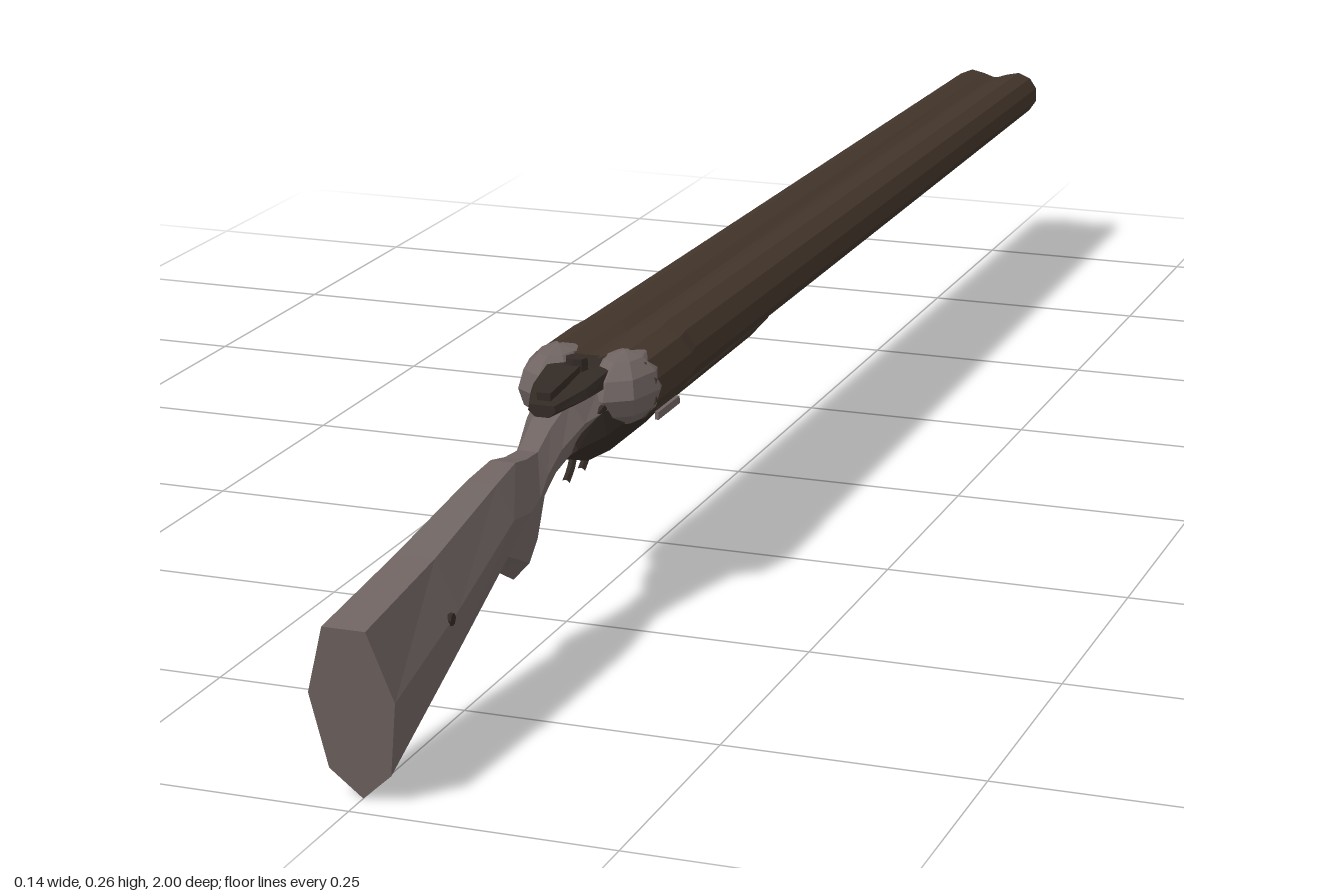
import * as THREE from 'three';

const mat = (name, color) => Object.assign(new THREE.MeshStandardMaterial({ color }), { name });

export function createModel() {
  const stockGrey = mat('weathered grey', 0x6f6462);
  const brown = mat('dark brown', 0x42342a);
  const dark = mat('dark metal', 0x332a25);
  const group = new THREE.Group();

  const add = (name, geometry, material, x = 0, y = 0, z = 0) => {
    const flat = geometry.index ? geometry.toNonIndexed() : geometry;
    flat.computeVertexNormals();
    const mesh = new THREE.Mesh(flat, material);
    mesh.name = name;
    mesh.position.set(x, y, z);
    group.add(mesh);
    return mesh;
  };

  // Closed skin through mirrored half sections, listed from rear (+z) to front;
  // each half runs from top to bottom as [half width, y, z].
  const loft = (halves) => {
    const rings = halves.map((half) => [
      ...half.map(([w, y, z]) => [-w, y, z]),
      ...half.filter(([w]) => w > 0).reverse(),
    ]);
    const pos = [];
    const tri = (a, b, c) => pos.push(...a, ...b, ...c);
    const n = rings[0].length;
    for (let k = 0; k + 1 < rings.length; k++) {
      const a = rings[k], b = rings[k + 1];
      for (let i = 0; i < n; i++) {
        const j = (i + 1) % n;
        tri(a[i], b[i], b[j]);
        tri(a[i], b[j], a[j]);
      }
    }
    const first = rings[0], last = rings[rings.length - 1];
    for (let i = 1; i + 1 < n; i++) {
      tri(first[0], first[i], first[i + 1]);
      tri(last[0], last[i + 1], last[i]);
    }
    const g = new THREE.BufferGeometry();
    g.setAttribute('position', new THREE.Float32BufferAttribute(pos, 3));
    return g;
  };

  // Stock with pistol grip: top z, top y, bottom z, bottom y, half width
  const stock = [
    [1.0, 0.17, 0.97, 0.003, 0.041],
    [0.85, 0.186, 0.83, 0.066, 0.038],
    [0.70, 0.208, 0.69, 0.122, 0.03],
    [0.65, 0.213, 0.63, 0.09, 0.025],
    [0.62, 0.207, 0.605, 0.11, 0.022],
    [0.59, 0.205, 0.59, 0.15, 0.02],
    [0.56, 0.22, 0.56, 0.168, 0.022],
    [0.52, 0.236, 0.52, 0.182, 0.03],
    [0.45, 0.245, 0.45, 0.185, 0.045],
  ];
  add('stock', loft(stock.map(([zt, yt, zb, yb, w]) =>
    [[0.5, 0], [1, 0.4], [0.72, 0.84], [0, 1]].map(([f, t]) =>
      [w * f, yt + (yb - yt) * t, zt + (zb - zt) * t]))), stockGrey);

  // Twin barrels joined along the middle: z, spacing, radius, centre height
  const barrels = [
    [0.43, 0.034, 0.036, 0.225],
    [0.33, 0.034, 0.036, 0.225],
    [0.31, 0.032, 0.035, 0.226],
    [-1, 0.029, 0.0275, 0.2175],
  ];
  add('barrels', loft(barrels.map(([z, cx, r, cy]) => [
    [0, cy + r * 0.68, z],
    ...[60, 95, 130, 162, 198, 230, 265, 300].map((d) => {
      const a = THREE.MathUtils.degToRad(d);
      return [cx - Math.cos(a) * r, cy + Math.sin(a) * r, z];
    }),
    [0, cy - r * 0.68, z],
  ])), brown);
  add('barrelRib', loft([[0.45, 0.252], [-1, 0.237]].map(([z, y]) =>
    [[0.006, y, z], [0.009, y - 0.02, z]])), brown);

  // Fore-end and action body: z, top, bottom, half width
  const body = (rows) => loft(rows.map(([z, t, b, w]) =>
    [[w * 0.9, t, z], [w, t + (b - t) * 0.5, z], [w * 0.5, b, z]]));
  add('foreEnd', body([
    [0.36, 0.21, 0.164, 0.046], [0.02, 0.208, 0.164, 0.04],
    [-0.02, 0.207, 0.17, 0.035], [-0.045, 0.205, 0.192, 0.025],
  ]), brown);
  add('actionBody', body([
    [0.53, 0.2, 0.18, 0.026], [0.49, 0.222, 0.167, 0.04],
    [0.44, 0.235, 0.163, 0.047], [0.34, 0.215, 0.163, 0.047],
  ]), dark);
  add('topStrap', body([
    [0.555, 0.24, 0.228, 0.014], [0.51, 0.246, 0.228, 0.03],
    [0.46, 0.252, 0.225, 0.036], [0.42, 0.252, 0.225, 0.03],
  ]), dark);

  // Top lever and its pivot
  add('topLever', new THREE.BoxGeometry(0.014, 0.008, 0.08), dark, 0, 0.25, 0.51).rotation.x = 0.08;
  add('leverPivot', new THREE.CylinderGeometry(0.011, 0.012, 0.014, 8), dark, 0, 0.256, 0.465);

  for (const side of [-1, 1]) {
    // Rounded breech shoulders
    const shoulder = new THREE.SphereGeometry(1, 8, 6);
    shoulder.scale(0.036, 0.036, 0.062);
    add('breechShoulder', shoulder, stockGrey, side * 0.035, 0.226, 0.425);
    // Pale cap over the upper rear of each barrel
    const cap = new THREE.CylinderGeometry(0.0375, 0.0375, 0.03, 10, 1, true, 0, Math.PI * 0.6);
    cap.rotateX(Math.PI / 2);
    if (side < 0) cap.rotateZ(Math.PI * 0.4);
    add('sidePlate', new THREE.BoxGeometry(0.004, 0.008, 0.06), stockGrey, side * 0.046, 0.18, 0.34);
    // Stock screw
    const screw = new THREE.CylinderGeometry(0.006, 0.006, 0.006, 6);
    screw.rotateZ(Math.PI / 2);
    add('stockScrew', screw, dark, side * 0.037, 0.135, 0.86);
  }

  // Two curved triggers
  for (const z of [0.485, 0.445]) {
    const curve = new THREE.QuadraticBezierCurve3(
      new THREE.Vector3(0, 0.172, z - 0.008), new THREE.Vector3(0, 0.158, z - 0.01),
      new THREE.Vector3(0, 0.145, z + 0.012));
    add('trigger', new THREE.TubeGeometry(curve, 4, 0.004, 5), dark);
  }
  return group;
}
